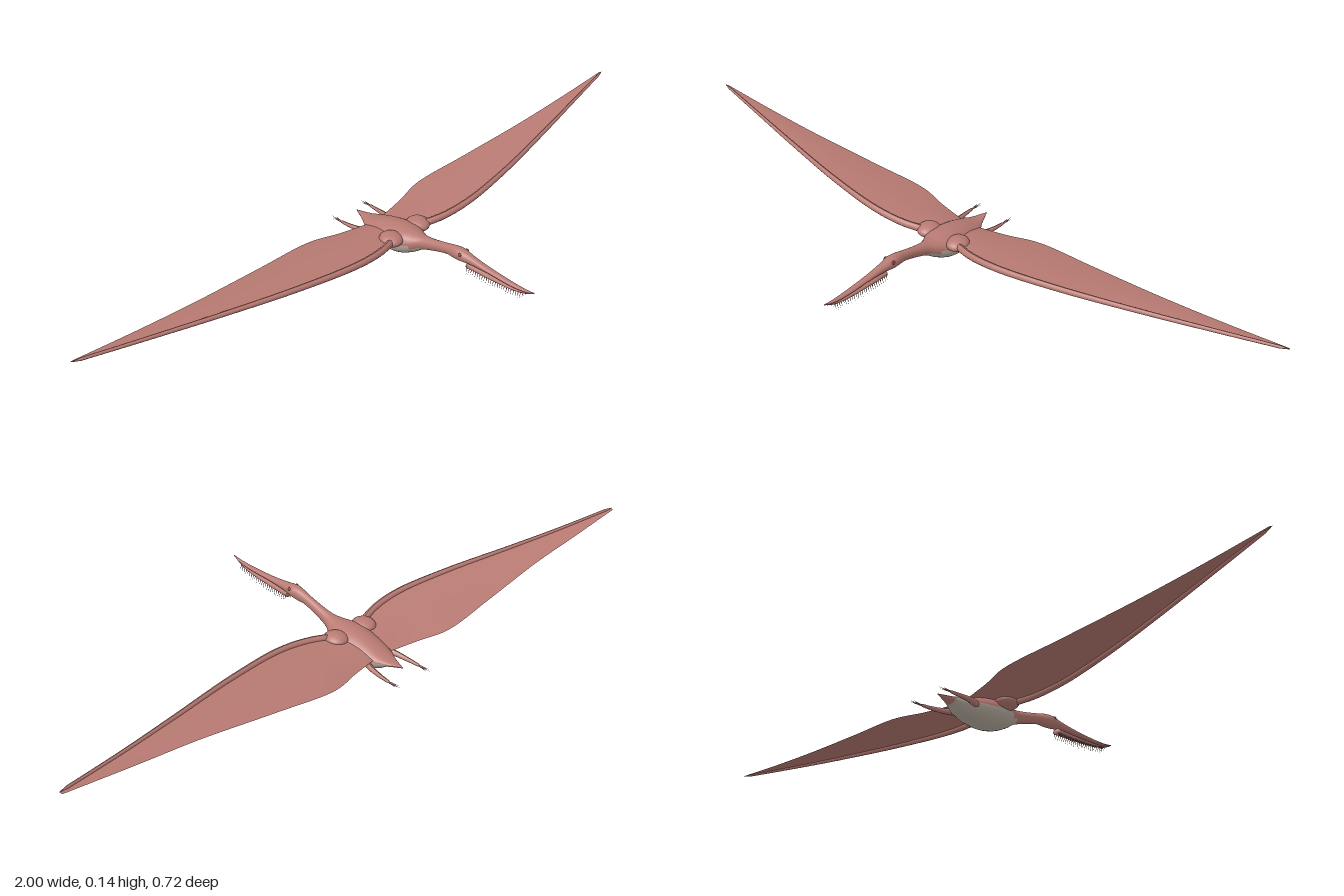
import * as THREE from 'three';

const paint = (name, color, side = THREE.FrontSide) => {
  const m = new THREE.MeshStandardMaterial({ color, side });
  m.name = name;
  return m;
};

// Smooth body through sections [z, halfWidth, yTop, yMid, yBottom], running from front to back.
// isSecond(z, sine) picks the faces that take the second material.
function loft(sections, rows, sides, isSecond = () => false) {
  const a = new THREE.CatmullRomCurve3(sections.map(s => new THREE.Vector3(s[0], s[1], s[2])), false, 'catmullrom', 0.5);
  const b = new THREE.CatmullRomCurve3(sections.map(s => new THREE.Vector3(s[0], s[3], s[4])), false, 'catmullrom', 0.5);
  const pos = [], first = [], second = [];
  for (let i = 0; i <= rows; i++) {
    const p = a.getPoint(i / rows), q = b.getPoint(i / rows);
    for (let j = 0; j < sides; j++) {
      const t = (j / sides) * Math.PI * 2, s = Math.sin(t);
      pos.push(Math.cos(t) * p.y, q.y + s * (s > 0 ? p.z - q.y : q.y - q.z), p.x);
    }
    if (i === rows) break;
    for (let j = 0; j < sides; j++) {
      const k = (j + 1) % sides, r = i * sides, n = r + sides;
      const list = isSecond(p.x, Math.sin(((j + 0.5) / sides) * Math.PI * 2)) ? second : first;
      list.push(r + j, n + j, r + k, r + k, n + j, n + k);
    }
  }
  // end caps
  const last = rows * sides;
  for (let j = 1; j < sides - 1; j++) first.push(0, j, j + 1, last, last + j + 1, last + j);
  const g = new THREE.BufferGeometry();
  g.setAttribute('position', new THREE.Float32BufferAttribute(pos, 3));
  g.setIndex([...first, ...second]);
  g.addGroup(0, first.length, 0);
  g.addGroup(first.length, second.length, 1);
  g.computeVertexNormals();
  return g;
}

const curveOf = (pts, s) => new THREE.CatmullRomCurve3(pts.map(p => new THREE.Vector3(s * p[0], p[1], p[2])));

// Tube whose radius follows radius(t)
function taperedTube(curve, rows, sides, radius) {
  const g = new THREE.TubeGeometry(curve, rows, 1, sides);
  const p = g.attributes.position, v = new THREE.Vector3();
  for (let i = 0; i <= rows; i++) {
    const c = curve.getPointAt(i / rows), r = i === 0 || i === rows ? 0.0005 : radius(i / rows);
    for (let j = 0; j <= sides; j++) {
      const k = i * (sides + 1) + j;
      v.fromBufferAttribute(p, k).sub(c).multiplyScalar(r).add(c);
      p.setXYZ(k, v.x, v.y, v.z);
    }
  }
  g.computeVertexNormals();
  return g;
}

// Arched sheet between the leading and trailing edges
function sheet(front, back, rows, cols, camber) {
  const g = new THREE.PlaneGeometry(1, 1, rows, cols), p = g.attributes.position;
  for (let j = 0, k = 0; j <= cols; j++) for (let i = 0; i <= rows; i++, k++) {
    const u = i / rows, w = j / cols;
    const v = front.getPoint(u).lerp(back.getPoint(u), w);
    p.setXYZ(k, v.x, v.y + camber * (1 - u) * Math.sin(w * Math.PI), v.z);
  }
  g.computeVertexNormals();
  return g;
}

export function createModel() {
  const model = new THREE.Group();
  const skin = paint('rose skin', 0xb97b73);
  const membrane = paint('rose membrane', 0xb97b73, THREE.DoubleSide);
  const pale = paint('pale belly', 0xb9afa2);
  const dark = paint('dark bristle', 0x4f3833);
  const eyeRed = paint('eye red', 0x7d3f38);

  const add = (name, geometry, material, parent = model) => {
    const m = new THREE.Mesh(geometry, material);
    m.name = name;
    parent.add(m);
    return m;
  };
  // Cone with its base at one point and its tip at another
  const spike = (name, from, to, r, material, parent) => {
    const a = new THREE.Vector3(...from), b = new THREE.Vector3(...to), d = b.clone().sub(a);
    const m = add(name, new THREE.ConeGeometry(r, d.length(), 5), material, parent);
    m.position.copy(a).add(b).multiplyScalar(0.5);
    m.quaternion.setFromUnitVectors(new THREE.Vector3(0, 1, 0), d.normalize());
  };

  // Upper beak, head, neck, trunk and tail in one skin
  add('body', loft([
    [0.36, 0.001, 0.114, 0.113, 0.111], [0.33, 0.005, 0.109, 0.105, 0.102],
    [0.28, 0.008, 0.107, 0.101, 0.097], [0.2, 0.010, 0.110, 0.103, 0.096],
    [0.14, 0.013, 0.117, 0.105, 0.091], [0.105, 0.018, 0.122, 0.106, 0.086],
    [0.08, 0.016, 0.121, 0.103, 0.083], [0.05, 0.013, 0.113, 0.098, 0.081],
    [0, 0.014, 0.100, 0.084, 0.065], [-0.04, 0.019, 0.092, 0.072, 0.049],
    [-0.07, 0.034, 0.089, 0.062, 0.028], [-0.105, 0.050, 0.090, 0.055, 0.011],
    [-0.15, 0.052, 0.087, 0.049, 0.001], [-0.2, 0.046, 0.075, 0.045, 0.003],
    [-0.24, 0.036, 0.061, 0.044, 0.015], [-0.27, 0.020, 0.052, 0.045, 0.033],
    [-0.315, 0.001, 0.048, 0.047, 0.046],
  ], 96, 28, (z, s) => z < -0.035 && z > -0.265 && s < (z > -0.07 ? -0.5 : 0)), [skin, pale]);

  // Lower jaw, curving up to the tip
  add('lowerJaw', loft([
    [0.35, 0.001, 0.108, 0.107, 0.106], [0.325, 0.004, 0.101, 0.098, 0.095],
    [0.28, 0.007, 0.095, 0.090, 0.085], [0.2, 0.009, 0.092, 0.085, 0.078],
    [0.127, 0.011, 0.092, 0.083, 0.074],
  ], 28, 14), skin);

  // Hanging filter bristles along both sides of the jaw
  const bristles = new THREE.Group();
  bristles.name = 'bristles';
  model.add(bristles);
  let seed = 7;
  const rand = () => (seed = (seed * 16807) % 2147483647) / 2147483647;
  for (const s of [1, -1]) for (let i = 0; i < 26; i++) {
    const z = 0.13 + i * 0.0078, t = i / 25;
    const y = 0.078 + 0.018 * t * t, x = s * (0.008 - 0.004 * t);
    const len = 0.012 + 0.008 * rand();
    spike('bristle', [x, y, z], [x + s * 0.005, y - len, z + 0.003 * (rand() - 0.5)], 0.0011, dark, bristles);
  }

  for (const s of [1, -1]) {
    const side = s > 0 ? 'left' : 'right';

    const eye = add(side + 'Eye', new THREE.SphereGeometry(0.006, 14, 10), eyeRed);
    eye.position.set(s * 0.0145, 0.112, 0.108);
    eye.scale.x = 0.7;

    // Shoulder muscle at the wing root
    const shoulder = add(side + 'Shoulder', new THREE.SphereGeometry(1, 20, 14), skin);
    shoulder.position.set(s * 0.052, 0.071, -0.118);
    shoulder.scale.set(0.032, 0.018, 0.036);

    // Wing: long tapering finger bone with the membrane behind it
    const front = curveOf([[0.04, 0.070, -0.115], [0.12, 0.078, -0.087], [0.22, 0.087, -0.079],
      [0.4, 0.097, -0.103], [0.62, 0.108, -0.150], [0.8, 0.120, -0.190], [1, 0.137, -0.232]], s);
    const back = curveOf([[0.035, 0.050, -0.240], [0.12, 0.053, -0.258], [0.21, 0.058, -0.281],
      [0.4, 0.075, -0.268], [0.62, 0.097, -0.250], [0.8, 0.113, -0.244], [0.998, 0.134, -0.239]], s);
    add(side + 'WingBone', taperedTube(front, 40, 10, t => 0.011 - 0.007 * t), skin);
    add(side + 'WingMembrane', sheet(front, back, 40, 10, 0.008), membrane);

    // Trailing leg with slender toes
    const leg = curveOf([[0.025, 0.040, -0.195], [0.046, 0.038, -0.235],
      [0.054, 0.034, -0.28], [0.057, 0.032, -0.325]], s);
    add(side + 'Leg', taperedTube(leg, 20, 8, t => 0.011 - 0.0075 * t), skin);
    for (const d of [-1, 0, 1]) {
      spike(side + 'Toe', [s * 0.057, 0.032, -0.318],
        [s * (0.056 + d * 0.006), 0.032, -0.362 + Math.abs(d) * 0.01], 0.0025, skin, model);
    }
  }
  return model;
}
